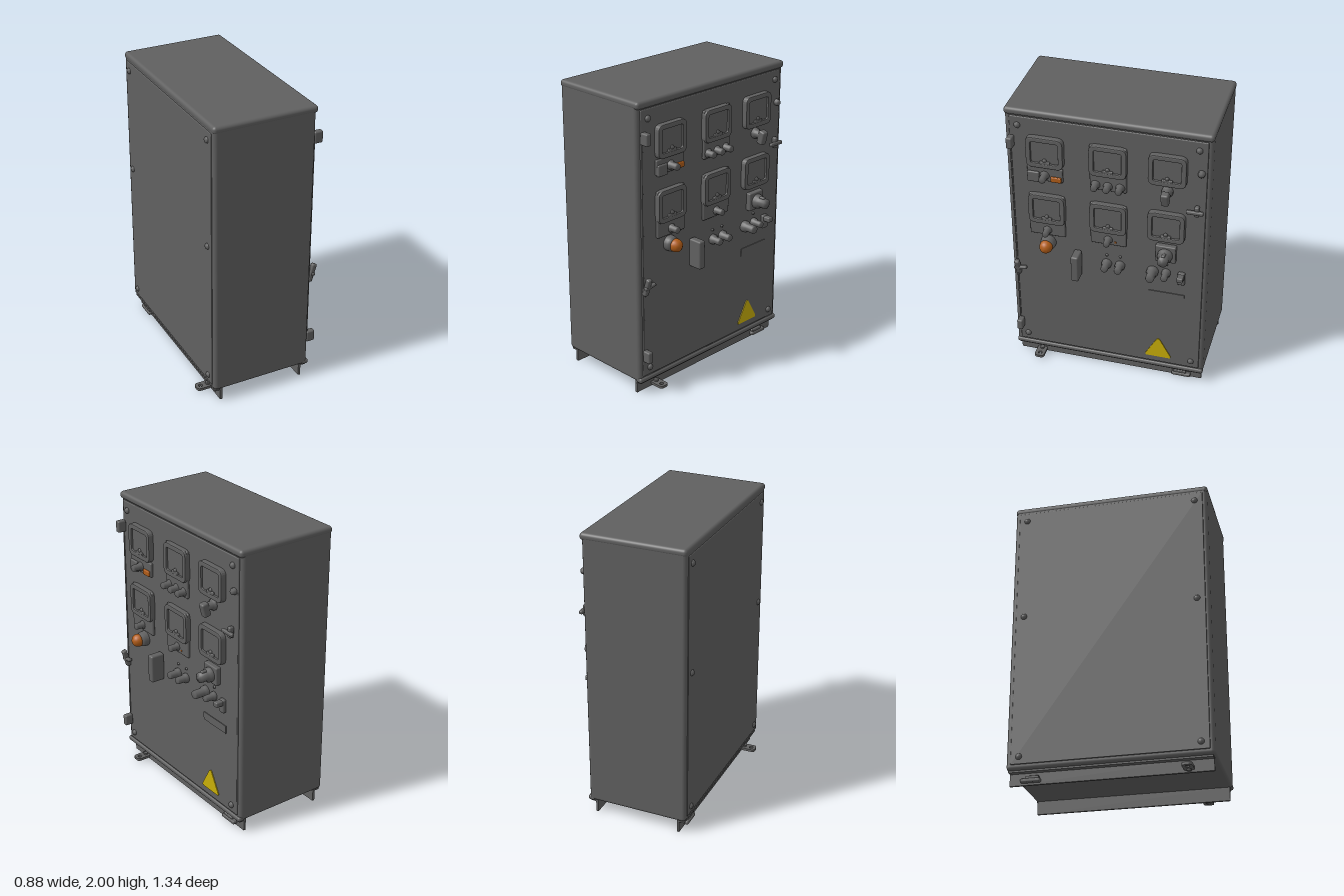
import * as THREE from 'three';
import { RoundedBoxGeometry } from 'three/addons/geometries/RoundedBoxGeometry.js';

export function createModel() {
  const root = new THREE.Group();
  root.name = 'controlCabinet';
  const grey = new THREE.MeshStandardMaterial({ color: 0x606060 });
  grey.name = 'grey paint';
  const orange = new THREE.MeshStandardMaterial({ color: 0xb05c18 });
  orange.name = 'orange plastic';
  const yellow = new THREE.MeshStandardMaterial({ color: 0xc8ae08 });
  yellow.name = 'warning yellow';

  const add = (parent, name, geo, x, y, z, mat = grey) => {
    const m = new THREE.Mesh(geo, mat);
    m.name = name;
    m.position.set(x, y, z);
    parent.add(m);
    return m;
  };
  const rbox = (w, h, d, r = 0.01) => new RoundedBoxGeometry(w, h, d, 3, r);
  // Solid of revolution whose axis is +z, profile as [radius, depth]
  const turned = (pts, seg = 24) =>
    new THREE.LatheGeometry(pts.map(p => new THREE.Vector2(...p)), seg).rotateX(Math.PI / 2);
  const roundRect = (s, w, h, r, cx = 0, cy = 0) => {
    const a = cx - w / 2, b = cx + w / 2, c = cy - h / 2, d = cy + h / 2;
    s.moveTo(a + r, c);
    s.lineTo(b - r, c); s.quadraticCurveTo(b, c, b, c + r);
    s.lineTo(b, d - r); s.quadraticCurveTo(b, d, b - r, d);
    s.lineTo(a + r, d); s.quadraticCurveTo(a, d, a, d - r);
    s.lineTo(a, c + r); s.quadraticCurveTo(a, c, a + r, c);
    return s;
  };

  // Housing with a lip above and below the door
  add(root, 'housing', rbox(0.695, 1.905, 1.33, 0.025), -0.0425, 1.0475, 0);
  add(root, 'topCap', rbox(0.712, 0.05, 1.335, 0.022), -0.037, 1.975, 0);
  add(root, 'bottomLip', rbox(0.05, 0.035, 1.33, 0.014), 0.292, 0.108, 0);
  add(root, 'backPanel', rbox(0.02, 1.82, 1.27, 0.005), -0.385, 1.04, 0);

  // Plinth rails and fixing lugs
  for (const s of [-1, 1]) {
    const x = s < 0 ? -0.335 : 0.257;
    add(root, 'plinthRail', new THREE.BoxGeometry(0.016, 0.09, 1.3), x, 0.05, 0);
    add(root, 'plinthFlange', new THREE.BoxGeometry(0.05, 0.012, 1.3), x + s * 0.02, 0.088, 0);
    const lugShape = roundRect(new THREE.Shape(), 0.11, 0.068, 0.025);
    const hole = new THREE.Path();
    hole.absarc(0.022, 0, 0.014, 0, Math.PI * 2, true);
    lugShape.holes.push(hole);
    const lugGeo = new THREE.ExtrudeGeometry(lugShape, { depth: 0.018, bevelEnabled: false, curveSegments: 8 })
      .rotateX(-Math.PI / 2);
    add(root, 'fixingLug', lugGeo, x + s * 0.055, 0.02, 0.495).rotation.y = s < 0 ? Math.PI : 0;
    add(root, 'lugBolt', new THREE.CylinderGeometry(0.016, 0.016, 0.04, 8), x + s * 0.025, 0.03, 0.495);
    add(root, 'foldedLug', rbox(0.035, 0.025, 0.13, 0.008), x + s * 0.02, 0.03, -0.51);
    add(root, 'foldedLugTop', rbox(0.025, 0.02, 0.09, 0.006), x + s * 0.018, 0.05, -0.50);
  }

  // Back panel screws
  const back = new THREE.Group();
  back.name = 'backScrews';
  back.position.x = -0.392;
  back.rotation.y = -Math.PI / 2;
  root.add(back);
  const screw = turned([[0.021, 0], [0.021, 0.006], [0.014, 0.016], [0, 0.018]], 12);
  for (const u of [-0.58, 0.58])
    for (const y of [0.18, 1.16, 1.89]) add(back, 'screw', screw, u, y, 0);

  // Instrument door: local x runs along the door, local z points outward
  const door = new THREE.Group();
  door.name = 'door';
  door.position.x = 0.314;
  door.rotation.y = Math.PI / 2;
  root.add(door);
  add(door, 'doorPanel', rbox(1.27, 1.81, 0.02, 0.006), 0, 1.04, -0.01);
  for (const u of [-0.58, 0.58])
    for (const y of [0.19, 1.885]) add(door, 'doorScrew', screw, u, y, 0);

  // Square meters: raised bezel around a sunken glass
  const meter = (u, y, tail) => {
    const h = 0.215 + tail;
    const shape = roundRect(new THREE.Shape(), 0.225, h - 0.015, 0.03, 0, -tail / 2);
    if (tail) add(door, 'meterPlate', rbox(0.24, h, 0.022, 0.01), u, y - tail / 2, 0.01);
    const ring = roundRect(new THREE.Shape(), 0.23, 0.205, 0.035);
    ring.holes.push(roundRect(new THREE.Path(), 0.192, 0.166, 0.022));
    add(door, 'meterBezel', new THREE.ExtrudeGeometry(ring, {
      depth: 0.03, bevelThickness: 0.007, bevelSize: 0.007, bevelSegments: 2, curveSegments: 5,
    }), u, y, 0);
    add(door, 'meterGlass', new THREE.BoxGeometry(0.2, 0.18, 0.02), u, y, 0.013);
    add(door, 'meterPivotCover', rbox(0.07, 0.022, 0.016, 0.006), u, y - 0.072, 0.028);
    add(door, 'zeroScrew', turned([[0.014, 0], [0.014, 0.008], [0, 0.01]], 10), u, y - 0.055, 0.026);
  };
  meter(-0.40, 1.72, 0);
  meter(0.01, 1.72, 0.11);
  meter(0.39, 1.72, 0);
  meter(-0.40, 1.29, 0.1);
  meter(0.01, 1.29, 0.1);
  meter(0.39, 1.295, 0);

  // Round push buttons and knobs
  const button = (u, y, r, d, name = 'pushButton') => add(door, name,
    turned([[r * 1.15, 0], [r * 1.15, d * 0.25], [r * 0.85, d * 0.35], [r * 0.85, d * 0.9], [r * 0.7, d], [0, d]], 18),
    u, y, 0.002);
  for (const u of [-0.07, 0.01, 0.09]) button(u, 1.54, 0.027, 0.075);
  button(-0.40, 1.125, 0.026, 0.08, 'meterKnob');
  button(0.01, 1.125, 0.026, 0.08, 'meterKnob');
  button(-0.005, 0.92, 0.029, 0.08);
  button(0.085, 0.92, 0.029, 0.08);
  button(0.305, 0.918, 0.034, 0.1);
  button(0.395, 0.922, 0.026, 0.08);
  for (const u of [-0.005, 0.085, 0.395])
    add(door, 'indicatorDot', turned([[0.01, 0], [0.008, 0.008], [0, 0.01]], 8), u, 0.985, 0);

  // Switch strip below the first meter
  add(door, 'switchStrip', rbox(0.235, 0.1, 0.022, 0.008), -0.405, 1.555, 0.008);
  add(door, 'switchBlock', rbox(0.08, 0.075, 0.03, 0.008), -0.48, 1.535, 0.018);
  button(-0.405, 1.55, 0.027, 0.085, 'stripKnob');
  add(door, 'orangeRocker', rbox(0.07, 0.036, 0.02, 0.006), -0.33, 1.53, 0.023, orange);
  add(door, 'orangePilot', rbox(0.012, 0.012, 0.006, 0.002), 0.058, 1.112, 0.021, orange);

  // Pointer knob below the third meter
  button(0.39, 1.56, 0.032, 0.06, 'pointerKnob');
  add(door, 'pointerGrip', rbox(0.05, 0.095, 0.05, 0.012), 0.39, 1.545, 0.07).rotation.x = 0.25;

  // Rotary selector on a square plate
  add(door, 'selectorPlate', rbox(0.135, 0.125, 0.04, 0.008), 0.392, 1.088, 0.015);
  add(door, 'selectorKnob',
    turned([[0.05, 0.03], [0.048, 0.06], [0.034, 0.07], [0.034, 0.12], [0, 0.125]], 18), 0.392, 1.085, 0);
  add(door, 'selectorGrip', rbox(0.025, 0.08, 0.04, 0.008), 0.392, 1.088, 0.085);

  // Emergency stop
  add(door, 'stopCollar', turned([[0.052, 0], [0.05, 0.03], [0.042, 0.055], [0, 0.055]]), -0.402, 1.018, 0);
  add(door, 'stopButton',
    turned([[0.034, 0.045], [0.044, 0.055], [0.044, 0.068], [0.035, 0.09], [0.018, 0.102], [0, 0.104]]),
    -0.402, 1.018, 0, orange);

  // Long pull handle, flip switch, nameplate
  add(door, 'pullHandle', rbox(0.052, 0.195, 0.1, 0.012), -0.2, 0.895, 0.052);
  add(door, 'flipSwitchBase', rbox(0.048, 0.095, 0.03, 0.01), 0.498, 0.9, 0.013);
  add(door, 'flipSwitchLever', rbox(0.042, 0.035, 0.06, 0.008), 0.498, 0.925, 0.045);
  add(door, 'nameplate', new THREE.BoxGeometry(0.24, 0.055, 0.006), 0.4, 0.727, 0.002);

  // Warning triangle
  const tri = new THREE.Shape();
  tri.moveTo(-0.085, 0);
  tri.lineTo(0.085, 0);
  tri.quadraticCurveTo(0.092, 0.012, 0.082, 0.025);
  tri.lineTo(0.012, 0.15);
  tri.quadraticCurveTo(0, 0.162, -0.012, 0.15);
  tri.lineTo(-0.082, 0.025);
  tri.quadraticCurveTo(-0.092, 0.012, -0.085, 0);
  add(door, 'warningTriangle', new THREE.ExtrudeGeometry(tri, { depth: 0.006, bevelEnabled: false }),
    0.352, 0.185, 0, yellow);

  // Hinges and latches at the door edges
  for (const y of [0.29, 1.77]) add(door, 'hinge', rbox(0.04, 0.08, 0.06, 0.01), -0.622, y, 0.028);
  add(door, 'hingeSeam', rbox(0.01, 1.4, 0.008, 0.003), -0.63, 1.03, 0.001);
  add(door, 'latchBody', rbox(0.035, 0.13, 0.035, 0.01), -0.62, 0.785, 0.025).rotation.x = 0.3;
  add(door, 'latchLever', rbox(0.09, 0.022, 0.028, 0.008), -0.6, 0.785, 0.03).rotation.z = 0.15;
  add(door, 'lockBoss', turned([[0.024, 0], [0.022, 0.02], [0.012, 0.03], [0, 0.03]], 8), 0.6, 1.725, 0);
  add(door, 'turnHandleBoss', rbox(0.03, 0.075, 0.035, 0.01), 0.582, 1.45, 0.016);
  add(door, 'turnHandleBar', rbox(0.11, 0.025, 0.025, 0.008), 0.572, 1.447, 0.032);
  return root;
}
